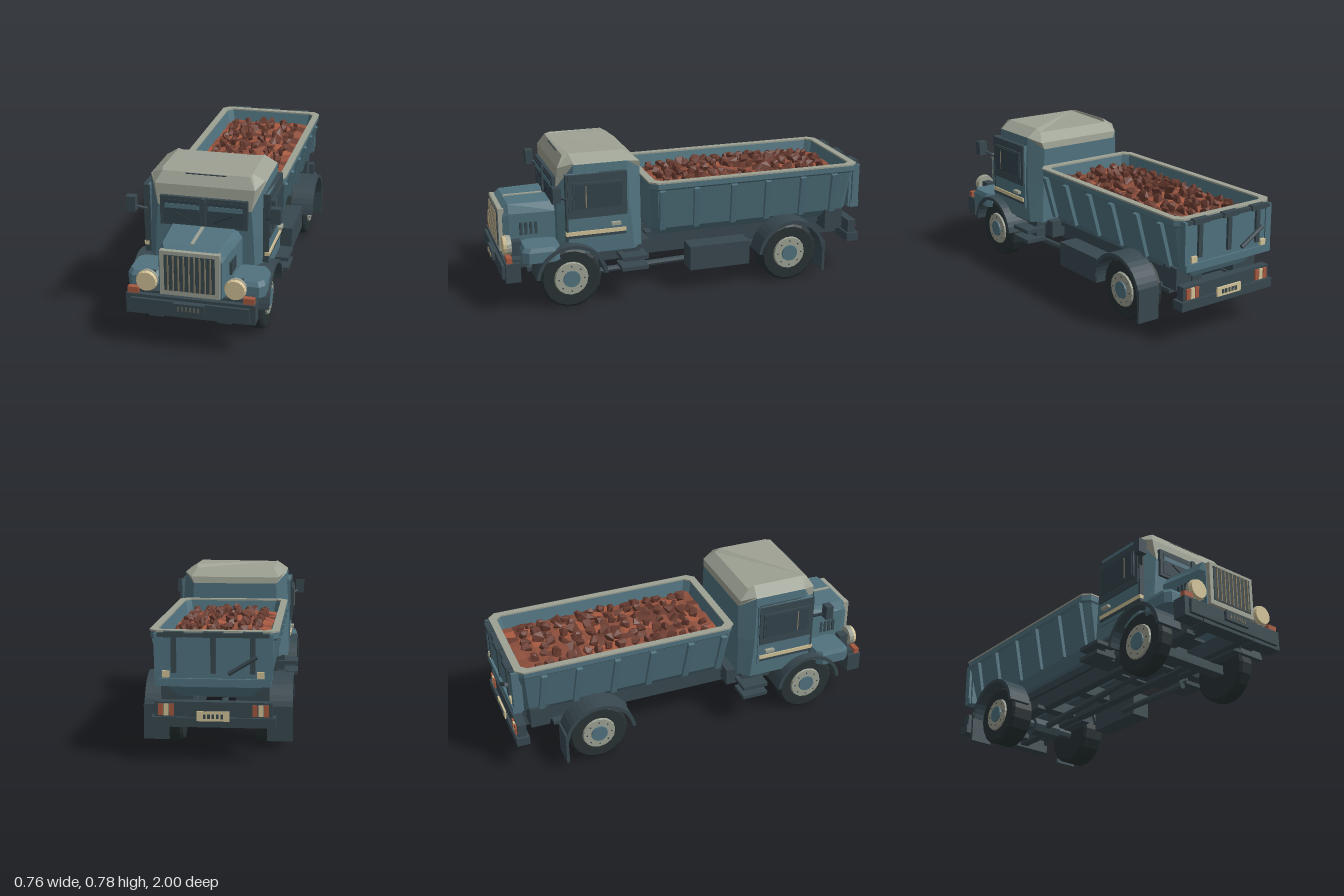
import * as THREE from 'three';
import { mergeGeometries } from 'three/addons/utils/BufferGeometryUtils.js';
import { ConvexGeometry } from 'three/addons/geometries/ConvexGeometry.js';

const mats = {};
for (const [name, color] of Object.entries({
  teal: 0x50727e, charcoal: 0x38484f, tyre: 0x283234, glass: 0x32434b, beige: 0x9da193,
  cream: 0xd2c298, brass: 0x857c66, load: 0x8e4f3c, rock: 0x6b3d31, red: 0xa6583f,
})) {
  mats[name] = new THREE.MeshStandardMaterial({ color });
  mats[name].name = name;
}

let seed = 7;
const rand = () => (seed = (seed * 16807) % 2147483647) / 2147483647;

const flat = (g) => {
  const f = g.index ? g.toNonIndexed() : g;
  f.computeVertexNormals();
  return f;
};

// Skin between cross-sections running counter-clockwise about the loft direction
function loft(rings, capStart = true, capEnd = true) {
  const p = [], n = rings[0].length;
  const tri = (a, b, c) => p.push(...a, ...b, ...c);
  for (let r = 0; r < rings.length - 1; r++) for (let i = 0; i < n; i++) {
    const j = (i + 1) % n, A = rings[r], B = rings[r + 1];
    tri(A[i], A[j], B[j]);
    tri(A[i], B[j], B[i]);
  }
  const s = rings[0], e = rings[rings.length - 1];
  for (let i = 1; i < n - 1; i++) {
    if (capStart) tri(s[0], s[i + 1], s[i]);
    if (capEnd) tri(e[0], e[i], e[i + 1]);
  }
  const g = new THREE.BufferGeometry();
  g.setAttribute('position', new THREE.Float32BufferAttribute(p, 3));
  g.computeVertexNormals();
  return g;
}

// Horizontal rectangle with cut corners; side and back points may sit at other heights
const oct = (hx, fx, zf, zb, cz, y, ys = y, yb = y) => [
  [-fx, y, zf], [fx, y, zf], [hx, ys, zf - cz], [hx, ys, zb + cz],
  [fx, yb, zb], [-fx, yb, zb], [-hx, ys, zb + cz], [-hx, ys, zf - cz]];

export function createModel() {
  const root = new THREE.Group();
  root.name = 'dumpTruck';
  const add = (name, mat, geo, x = 0, y = 0, z = 0) => {
    const m = new THREE.Mesh(geo, mats[mat]);
    m.name = name;
    m.position.set(x, y, z);
    root.add(m);
    return m;
  };
  const box = (name, mat, x0, x1, y0, y1, z0, z1) => add(name, mat,
    new THREE.BoxGeometry(Math.abs(x1 - x0), y1 - y0, Math.abs(z1 - z0)), (x0 + x1) / 2, (y0 + y1) / 2, (z0 + z1) / 2);
  const pair = (name, mat, x0, x1, ...r) => { box(name, mat, x0, x1, ...r); box(name, mat, -x0, -x1, ...r); };
  const rod = (name, mat, a, b, r, sides = 6) => {
    const A = new THREE.Vector3(...a), d = new THREE.Vector3(...b).sub(A);
    const m = add(name, mat, flat(new THREE.CylinderGeometry(r, r, d.length(), sides)));
    m.position.copy(A).addScaledVector(d, 0.5);
    m.quaternion.setFromUnitVectors(new THREE.Vector3(0, 1, 0), d.normalize());
  };

  // Chassis
  pair('frameRail', 'charcoal', 0.09, 0.14, 0.18, 0.26, -0.95, 0.93);
  for (const z of [-0.85, -0.4, -0.1, 0.2, 0.42]) box('crossMember', 'charcoal', -0.1, 0.1, 0.19, 0.25, z - 0.03, z + 0.03);
  pair('bedSill', 'charcoal', 0.1, 0.16, 0.26, 0.305, -0.9, 0.2);
  box('cabMount', 'charcoal', -0.22, 0.22, 0.2, 0.29, 0.2, 0.55);
  box('frontAxle', 'charcoal', -0.23, 0.23, 0.125, 0.172, 0.605, 0.665);
  rod('rearAxle', 'charcoal', [-0.24, 0.155, -0.555], [0.24, 0.155, -0.555], 0.028, 8);
  for (const z of [0.635, -0.555]) pair('leafSpring', 'charcoal', 0.13, 0.18, 0.17, 0.19, z - 0.2, z + 0.2);
  rod('differential', 'charcoal', [-0.08, 0.15, -0.555], [0.08, 0.15, -0.555], 0.052, 8);
  rod('driveShaft', 'charcoal', [0, 0.2, 0.3], [0, 0.155, -0.52], 0.018, 8);
  rod('exhaust', 'charcoal', [0.145, 0.117, 0.45], [0.145, 0.13, -0.02], 0.017, 8);
  for (const s of [-1, 1]) rod('liftArm', 'charcoal', [s * 0.12, 0.225, 0.13], [s * 0.12, 0.31, -0.27], 0.011);
  box('sideTank', 'charcoal', 0.2, 0.305, 0.12, 0.25, -0.33, 0);
  for (const y of [0.18, 0.235]) pair('step', 'charcoal', 0.24, 0.355, y, y + 0.02, 0.24, 0.38);
  pair('stepBracket', 'charcoal', 0.22, 0.28, 0.18, 0.28, 0.27, 0.35);

  // Wheels, with the rear ones wider
  const wheel = (x, z, h) => {
    const y = 0.158, turn = x < 0 ? Math.PI : 0, s = Math.sign(x);
    const pts = [[0, -h], [0.145, -h], [0.158, -h + 0.012], [0.158, h - 0.012], [0.145, h], [0.09, h], [0.088, h - 0.008], [0, h - 0.008]]
      .map((p) => new THREE.Vector2(...p));
    add('tyre', 'tyre', flat(new THREE.LatheGeometry(pts, 18)).rotateZ(-Math.PI / 2), x, y, z).rotation.y = turn;
    const disc = (name, mat, r0, r1, d, off, yy = y, zz = z) => add(name, mat,
      flat(new THREE.CylinderGeometry(r0, r1, d, 16)).rotateZ(-Math.PI / 2), x + s * (h + off), yy, zz).rotation.y = turn;
    disc('rim', 'beige', 0.085, 0.09, 0.016, 0);
    disc('hub', 'teal', 0.043, 0.047, 0.018, 0.006);
    for (let i = 0; i < 8; i++) {
      const a = i * Math.PI / 4;
      disc('wheelBolt', 'charcoal', 0.004, 0.004, 0.006, 0.007, y + 0.066 * Math.sin(a), z + 0.066 * Math.cos(a));
    }
  };
  const arch = (x0, x1, z, r, R) => {
    const s = new THREE.Shape();
    s.absarc(0, 0, R, 0.12, Math.PI - 0.12, false);
    s.absarc(0, 0, r, Math.PI - 0.12, 0.12, true);
    const g = new THREE.ExtrudeGeometry(s, { depth: x1 - x0, bevelEnabled: false, curveSegments: 9 });
    add('fenderArch', 'charcoal', flat(g.rotateY(Math.PI / 2)), x0, 0.16, z);
  };
  for (const s of [-1, 1]) {
    wheel(s * 0.265, 0.635, 0.042);
    wheel(s * 0.245, -0.555, 0.065);
  }
  arch(0.2, 0.345, 0.635, 0.168, 0.186);
  arch(-0.345, -0.2, 0.635, 0.168, 0.186);
  arch(0.23, 0.355, -0.555, 0.172, 0.19);
  arch(-0.355, -0.23, -0.555, 0.172, 0.19);
  pair('mudFlap', 'charcoal', 0.235, 0.357, 0.05, 0.22, -0.745, -0.73);

  // Cab and roof
  const eave = oct(0.285, 0.23, 0.685, 0.25, 0.08, 0.62, 0.745, 0.69);
  add('cab', 'teal', loft([oct(0.298, 0.25, 0.685, 0.25, 0.05, 0.28), oct(0.3, 0.24, 0.685, 0.25, 0.07, 0.5), eave], true, false));
  add('roof', 'beige', loft([eave, oct(0.278, 0.245, 0.678, 0.255, 0.075, 0.725, 0.75, 0.725),
    oct(0.22, 0.215, 0.645, 0.31, 0.03, 0.78, 0.787, 0.77)], false));
  box('roofSeam', 'charcoal', -0.1, 0.1, 0.773, 0.777, 0.62, 0.652);
  box('cabSkirt', 'charcoal', -0.28, 0.28, 0.265, 0.285, 0.26, 0.66);

  // Windscreen
  box('windscreenFrame', 'charcoal', -0.215, 0.215, 0.525, 0.672, 0.66, 0.7);
  pair('windscreen', 'glass', 0.02, 0.195, 0.54, 0.655, 0.698, 0.703);
  pair('sunBand', 'teal', 0.022, 0.19, 0.613, 0.637, 0.702, 0.705);
  box('windscreenPost', 'charcoal', -0.01, 0.01, 0.53, 0.672, 0.7, 0.712);
  for (const s of [-1, 1]) rod('wiper', 'tyre', [s * 0.145, 0.6, 0.71], [s * 0.055, 0.555, 0.71], 0.003);

  // Doors, stripes and mirrors
  pair('door', 'teal', 0.28, 0.307, 0.35, 0.7, 0.335, 0.645);
  pair('doorPillar', 'charcoal', 0.28, 0.309, 0.35, 0.7, 0.642, 0.652);
  pair('doorWindowFrame', 'charcoal', 0.285, 0.314, 0.475, 0.7, 0.34, 0.642);
  pair('doorWindowTrim', 'charcoal', 0.3, 0.322, 0.515, 0.66, 0.36, 0.62);
  pair('doorWindow', 'glass', 0.318, 0.325, 0.525, 0.65, 0.37, 0.61);
  pair('windowBar', 'brass', 0.322, 0.327, 0.53, 0.645, 0.55, 0.556);
  pair('doorStripe', 'cream', 0.29, 0.313, 0.385, 0.405, 0.345, 0.655);
  pair('stripeShadow', 'charcoal', 0.29, 0.311, 0.37, 0.385, 0.345, 0.655);
  pair('doorHandle', 'beige', 0.3, 0.328, 0.425, 0.44, 0.375, 0.425);
  pair('mirror', 'charcoal', 0.33, 0.378, 0.587, 0.662, 0.69, 0.73);
  for (const s of [-1, 1]) rod('mirrorArm', 'charcoal', [s * 0.29, 0.57, 0.64], [s * 0.345, 0.61, 0.705], 0.008);

  // Hood and grille
  const hood = (w, t, shoulder, top, z) =>
    [[w, 0.28, z], [w, shoulder, z], [t, top, z], [-t, top, z], [-w, shoulder, z], [-w, 0.28, z]];
  add('hood', 'teal', loft([hood(0.188, 0.155, 0.485, 0.53, 0.67), hood(0.162, 0.14, 0.48, 0.528, 0.915), hood(0.15, 0.125, 0.46, 0.505, 0.945)]));
  box('hoodStrip', 'beige', -0.008, 0.008, 0.525, 0.534, 0.7, 0.915);
  box('grilleFrame', 'beige', -0.143, 0.143, 0.285, 0.508, 0.935, 0.965);
  box('grille', 'charcoal', -0.121, 0.121, 0.31, 0.49, 0.95, 0.969);
  for (let i = -4; i <= 4; i++) box('grilleBar', 'brass', i * 0.0255 - 0.003, i * 0.0255 + 0.003, 0.312, 0.488, 0.966, 0.976);
  for (let i = 0; i < 4; i++) pair('hoodVent', 'charcoal', 0.155, 0.178, 0.37, 0.435, 0.775 + i * 0.025, 0.79 + i * 0.025);

  // Front fenders, lamps and bumper
  for (const s of [-1, 1]) {
    add('frontFender', 'teal', loft([oct(0.085, 0.06, 0.88, 0.69, 0.03, 0.27), oct(0.085, 0.06, 0.88, 0.69, 0.03, 0.325),
      oct(0.075, 0.05, 0.865, 0.69, 0.03, 0.347)]), s * 0.25);
    const lamp = (name, mat, r0, r1, z0, z1) =>
      add(name, mat, flat(new THREE.CylinderGeometry(r0, r1, z1 - z0, 16)).rotateX(Math.PI / 2), s * 0.213, 0.338, (z0 + z1) / 2);
    lamp('headlampShell', 'beige', 0.054, 0.05, 0.922, 0.945);
    lamp('headlamp', 'cream', 0.047, 0.052, 0.945, 0.962);
  }
  pair('lampBracket', 'charcoal', 0.19, 0.236, 0.28, 0.36, 0.87, 0.925);
  pair('indicator', 'red', 0.252, 0.305, 0.272, 0.302, 0.93, 0.958);
  box('nosePanel', 'charcoal', -0.29, 0.29, 0.26, 0.285, 0.86, 0.94);
  box('frontBumper', 'charcoal', -0.312, 0.312, 0.172, 0.272, 0.89, 0.965);
  box('bumperFace', 'charcoal', -0.285, 0.285, 0.187, 0.257, 0.96, 0.98);
  box('bumperPanel', 'charcoal', -0.075, 0.075, 0.21, 0.257, 0.975, 0.995);
  for (let i = 0; i < 6; i++) box('bumperSlot', 'brass', -0.05 + i * 0.019, -0.046 + i * 0.019, 0.222, 0.243, 0.994, 1.0);
  pair('towHook', 'charcoal', 0.13, 0.2, 0.167, 0.185, 0.88, 0.97);

  // Load bed: outside, rim and inside walls
  const rimOut = [0.297, 0.262, 0.21, -0.952, 0.036], rimIn = [0.262, 0.235, 0.172, -0.915, 0.028];
  add('bedShell', 'teal', loft([oct(0.19, 0.165, 0.165, -0.9, 0.025, 0.3), oct(0.232, 0.205, 0.178, -0.92, 0.03, 0.345),
    oct(0.282, 0.252, 0.2, -0.94, 0.03, 0.565), oct(0.293, 0.258, 0.206, -0.948, 0.036, 0.575),
    oct(0.293, 0.258, 0.206, -0.948, 0.036, 0.605)], true, false));
  add('bedInside', 'teal', loft([oct(0.265, 0.235, 0.175, -0.92, 0.03, 0.608), oct(0.235, 0.21, 0.15, -0.89, 0.03, 0.47)], false, false));
  add('bedRim', 'beige', loft([oct(...rimIn, 0.604), oct(...rimOut, 0.604), oct(...rimOut, 0.612), oct(...rimIn, 0.612), oct(...rimIn, 0.604)], false, false));
  for (const z of [0.14, -0.045, -0.25, -0.44, -0.64, -0.82]) for (const s of [-1, 1]) {
    const m = box('bedRib', 'teal', -0.012, 0.012, 0.345, 0.575, -0.015, 0.015);
    m.position.set(s * 0.265, 0.455, z);
    m.rotation.set(0.06, 0, -s * 0.235);
  }

  // Earth in mixed tones, with rocks on top
  const mound = (x, z) => 0.535 + 0.045 * Math.cos(x * 5.5) * Math.cos((z + 0.38) * 2.4);
  const plane = new THREE.PlaneGeometry(0.48, 1.05, 9, 20).rotateX(-Math.PI / 2).translate(0, 0, -0.37);
  const ep = plane.attributes.position;
  for (let i = 0; i < ep.count; i++) ep.setY(i, mound(ep.getX(i), ep.getZ(i)) + (rand() - 0.5) * 0.02);
  const earth = flat(plane);
  for (let q = 0; q < 180; q++) {
    const t = rand();
    earth.addGroup(q * 6, 6, t < 0.5 ? 0 : t < 0.8 ? 1 : 2);
  }
  add('earth', 'load', earth).material = [mats.load, mats.rock, mats.red];
  const rocks = [];
  for (let r = 0; r < 15; r++) for (let c = 0; c < 6; c++) {
    const x = -0.18 + c * 0.072 + (rand() - 0.5) * 0.03, z = 0.09 - r * 0.065 + (rand() - 0.5) * 0.03;
    const size = 0.024 + rand() * 0.009, pts = [];
    for (let i = 0; i < 12; i++) {
      const v = new THREE.Vector3(rand() - 0.5, rand() - 0.5, rand() - 0.5).normalize();
      pts.push(v.multiply(new THREE.Vector3(0.85, 1.1, 1.1)).multiplyScalar(size));
    }
    rocks.push(flat(new ConvexGeometry(pts).translate(x, mound(x, z) + 0.015, z)));
  }
  add('rocks', 'rock', mergeGeometries(rocks));

  // Tailgate
  box('tailgate', 'teal', -0.255, 0.255, 0.36, 0.6, -0.965, -0.92);
  box('tailgateLowerRail', 'teal', -0.265, 0.265, 0.36, 0.395, -0.978, -0.93);
  box('tailgateTopRail', 'charcoal', -0.255, 0.255, 0.585, 0.603, -0.975, -0.94);
  for (const x of [-0.18, 0, 0.18]) {
    box('tailgateBar', 'charcoal', x - 0.012, x + 0.012, 0.42, 0.6, -0.978, -0.96);
    box('tailgateHinge', 'charcoal', x - 0.045, x + 0.045, 0.585, 0.61, -0.985, -0.95);
  }
  rod('tailgateBrace', 'charcoal', [-0.2, 0.5, -0.985], [-0.07, 0.42, -0.985], 0.011);
  pair('tailgateMarker', 'cream', 0.2, 0.232, 0.4, 0.43, -0.978, -0.96);
  pair('cornerPost', 'teal', 0.235, 0.27, 0.39, 0.6, -0.972, -0.935);

  // Rear bumper and lamps
  pair('bumperBracket', 'charcoal', 0.14, 0.25, 0.24, 0.35, -0.89, -0.79);
  box('rearBumper', 'charcoal', -0.285, 0.285, 0.17, 0.215, -0.978, -0.91);
  box('rearLampBoard', 'charcoal', -0.27, 0.27, 0.215, 0.285, -0.965, -0.92);
  for (let i = 0; i < 3; i++)
    pair('tailLamp', i === 1 ? 'cream' : 'red', 0.18 + i * 0.026, 0.202 + i * 0.026, 0.222, 0.275, -0.974, -0.96);
  box('rearPlate', 'cream', -0.075, 0.075, 0.2, 0.245, -0.985, -0.976);
  for (let i = 0; i < 5; i++) box('plateBar', 'charcoal', -0.046 + i * 0.02, -0.034 + i * 0.02, 0.212, 0.233, -0.988, -0.984);
  return root;
}
